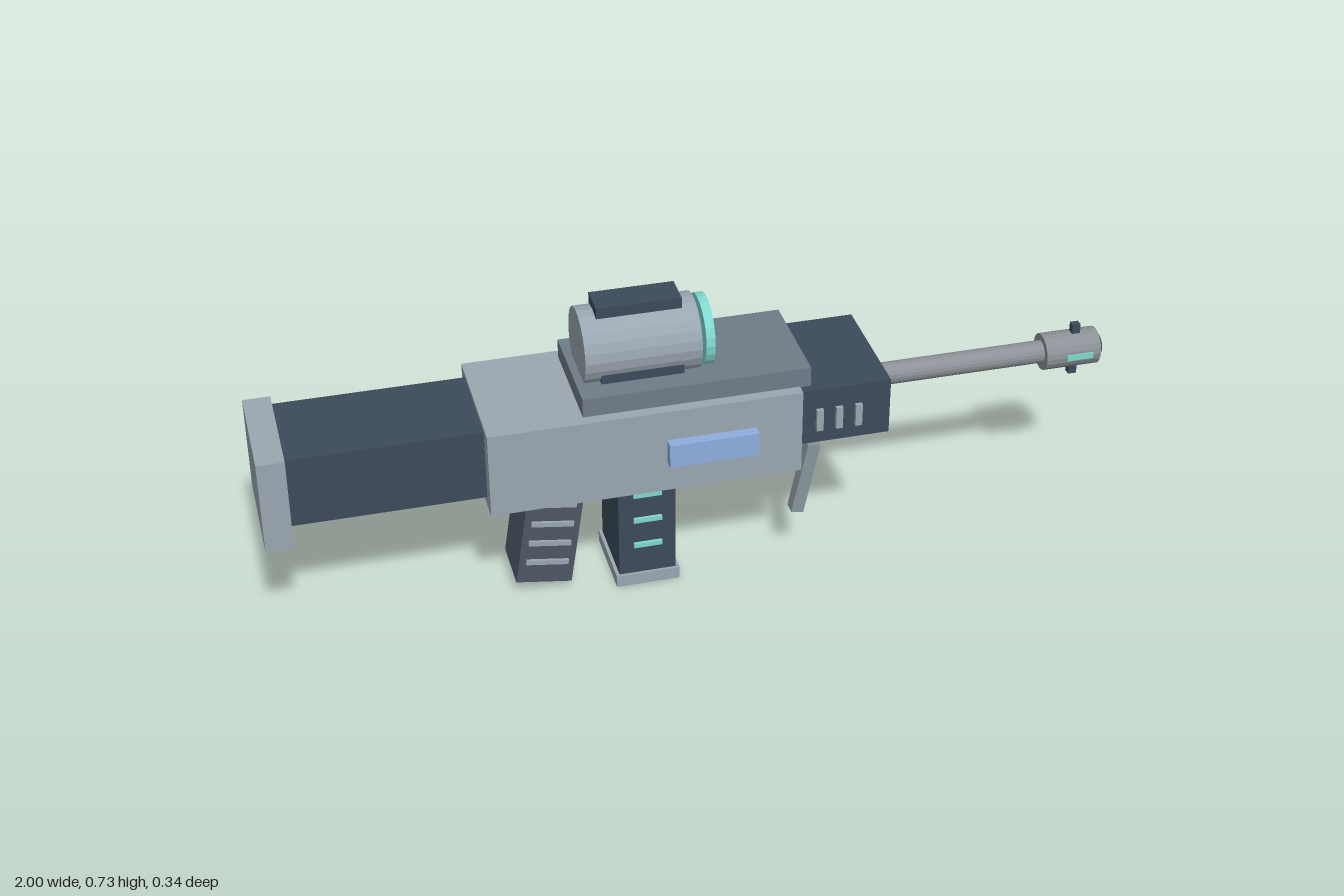
import * as THREE from 'three';

const material = (color) => new THREE.MeshStandardMaterial({ color, flatShading: true });
const LIGHT = material(0x9aa6b0);
const MID = material(0x6f7c87);
const DARK = material(0x3c4a5a);
const GRIP = material(0x4c5663);
const STEEL = material(0x8b9196);
const LEG = material(0x87949b);
const TEAL = material(0x80d8d0);
const BLUE = material(0x8eaede);
const AXIS_Z = -0.013; // the long axis sits slightly behind z = 0

export function createModel() {
  const model = new THREE.Group();

  const add = (name, geometry, mat, parent = model) => {
    const mesh = new THREE.Mesh(geometry, mat);
    mesh.name = name;
    parent.add(mesh);
    return mesh;
  };

  // Box from its limits on x, y and z
  const box = (name, mat, [x0, x1], [y0, y1], [z0, z1], parent) => {
    const mesh = add(name, new THREE.BoxGeometry(x1 - x0, y1 - y0, z1 - z0), mat, parent);
    mesh.position.set((x0 + x1) / 2, (y0 + y1) / 2, (z0 + z1) / 2);
    return mesh;
  };

  // Limits on z around the long axis
  const around = (half) => [AXIS_Z - half, AXIS_Z + half];

  // Cylinder lying along x
  const rod = (name, mat, x0, x1, y, radius, sides = 24) => {
    const geometry = new THREE.CylinderGeometry(radius, radius, x1 - x0, sides).rotateZ(-Math.PI / 2);
    const mesh = add(name, geometry, mat);
    mesh.position.set((x0 + x1) / 2, y, AXIS_Z);
    return mesh;
  };

  // Body
  box('receiver', LIGHT, [-0.5, 0.22], [0.3, 0.51], around(0.157));
  box('handguard', DARK, [0.2, 0.43], [0.365, 0.505], around(0.148));
  box('stock', DARK, [-0.94, -0.5], [0.325, 0.498], around(0.117));
  box('buttPlate', LIGHT, [-1, -0.937], [0.28, 0.507], around(0.135));
  box('topRail', MID, [-0.28, 0.245], [0.508, 0.556], around(0.131));
  box('sidePanel', BLUE, [-0.095, 0.112], [0.377, 0.435], [0.14, 0.17]);
  for (const x of [0.262, 0.308, 0.354]) {
    box('handguardVent', LIGHT, [x - 0.008, x + 0.008], [0.4, 0.455], [0.13, 0.145]);
  }

  // Barrel and muzzle
  rod('barrel', STEEL, 0.42, 0.87, 0.425, 0.027, 20);
  rod('muzzle', STEEL, 0.855, 0.99, 0.424, 0.044, 20);
  rod('bore', DARK, 0.96, 1, 0.424, 0.026, 20);
  box('muzzleSights', DARK, [0.927, 0.947], [0.356, 0.49], around(0.009));
  box('muzzleLight', TEAL, [0.905, 0.97], [0.416, 0.431], [0.0, 0.033]);

  // Scope
  rod('scopeBody', LIGHT, -0.262, 0.005, 0.616, 0.089);
  rod('scopeLens', TEAL, 0.015, 0.036, 0.616, 0.083);
  box('scopeMount', DARK, [-0.225, -0.035], [0.55, 0.58], around(0.08));
  box('scopeCap', DARK, [-0.225, -0.03], [0.7, 0.726], around(0.038));

  // Magazine
  box('magazine', DARK, [-0.195, -0.06], [0.02, 0.305], around(0.089));
  box('magazineBase', LIGHT, [-0.203, -0.052], [0, 0.03], around(0.096));
  for (const y of [0.11, 0.18, 0.25]) {
    box('magazineLight', TEAL, [-0.16, -0.093], [y - 0.006, y + 0.006], [0.07, 0.083]);
  }

  // Raked grip with ribs on its front face
  const grip = new THREE.Group();
  grip.name = 'grip';
  grip.position.set(-0.348, 0.176, 0);
  grip.rotation.z = -0.15;
  model.add(grip);
  box('gripBody', GRIP, [-0.066, 0.066], [-0.15, 0.15], around(0.068), grip);
  for (let i = 0; i < 4; i++) {
    const y = 0.068 - i * 0.053;
    box('gripRib', LIGHT, [-0.05, 0.05], [y - 0.006, y + 0.006], [0.045, 0.062], grip);
  }

  // Folding front legs
  for (const side of [-1, 1]) {
    const leg = add('bipodLeg', new THREE.BoxGeometry(0.03, 0.185, 0.032), LEG);
    leg.position.set(0.247, 0.237, AXIS_Z + side * 0.093);
    leg.rotation.z = -0.2;
  }

  return model;
}
